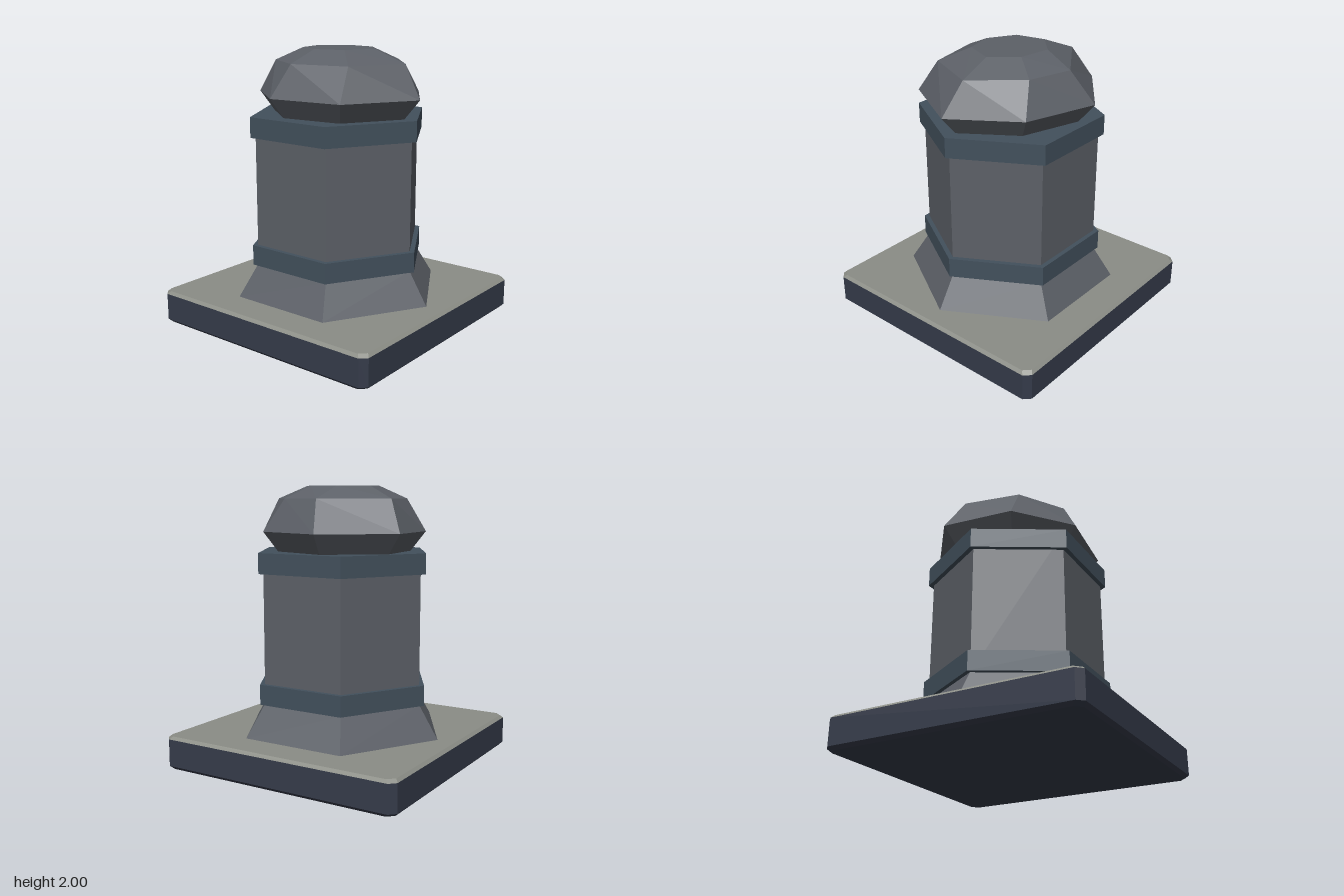
import * as THREE from 'three';

const material = (color) => new THREE.MeshStandardMaterial({ color, flatShading: true });
const stone = material(0x5c6067);
const bandStone = material(0x42505c);
const baseStone = material(0x353b4a);
const paving = material(0x8b8d86);

function addMesh(group, name, geometry, mat) {
  const mesh = new THREE.Mesh(geometry, mat);
  mesh.name = name;
  group.add(mesh);
}

// Six-sided prism or frustum between two heights, with corners on the x axis
function hexPrism(topRadius, bottomRadius, y0, y1) {
  return new THREE.CylinderGeometry(topRadius, bottomRadius, y1 - y0, 6, 1, false, Math.PI / 2)
    .translate(0, (y0 + y1) / 2, 0);
}

// Faceted solid through rings of { y, points: [x, z] }, listed from the bottom up
function loft(rings) {
  const positions = [];
  const count = rings[0].points.length;
  const corner = (ring, i) => [ring.points[i % count][0], ring.y, ring.points[i % count][1]];
  const first = rings[0];
  const last = rings[rings.length - 1];
  for (let i = 0; i < count; i++) {
    for (let r = 0; r < rings.length - 1; r++) {
      const a = corner(rings[r], i), b = corner(rings[r], i + 1);
      const c = corner(rings[r + 1], i + 1), d = corner(rings[r + 1], i);
      positions.push(...a, ...d, ...c, ...a, ...c, ...b);
    }
    positions.push(0, last.y, 0, ...corner(last, i + 1), ...corner(last, i));
    positions.push(0, first.y, 0, ...corner(first, i), ...corner(first, i + 1));
  }
  const geometry = new THREE.BufferGeometry();
  geometry.setAttribute('position', new THREE.Float32BufferAttribute(positions, 3));
  geometry.computeVertexNormals();
  return geometry;
}

// Square ring with cut corners
function squareRing(y, half, cut = 0.045) {
  const k = half - cut;
  return {
    y,
    points: [[k, -half], [half, -k], [half, k], [k, half], [-k, half], [-half, k], [-half, -k], [-k, -half]],
  };
}

export function createModel() {
  const group = new THREE.Group();
  group.name = 'pedestal';

  // Square plinth with a pale bevelled top
  addMesh(group, 'plinth', loft([squareRing(0, 0.9), squareRing(0.025, 0.925), squareRing(0.22, 0.925)]), baseStone);
  addMesh(group, 'plinthTop', loft([squareRing(0.22, 0.925), squareRing(0.24, 0.905)]), paving);

  // Hexagonal column
  addMesh(group, 'flaredFoot', hexPrism(0.63, 0.775, 0.24, 0.47), stone);
  addMesh(group, 'shaft', hexPrism(0.627, 0.627, 0.47, 1.53), stone);
  addMesh(group, 'lowerBand', hexPrism(0.665, 0.665, 0.47, 0.615), bandStone);
  addMesh(group, 'upperBand', hexPrism(0.665, 0.665, 1.395, 1.54), bandStone);

  // Irregular seven-sided capstone
  const girdle = [[-0.15, -0.615], [0.38, -0.45], [0.685, 0], [0.4, 0.5], [-0.15, 0.565], [-0.54, 0.25], [-0.605, -0.27]];
  const shoulder = [[-0.07, -0.46], [0.25, -0.37], [0.53, -0.05], [0.35, 0.35], [-0.07, 0.44], [-0.395, 0.235], [-0.485, -0.17]];
  const crown = [[-0.1, -0.245], [0.135, -0.21], [0.285, -0.035], [0.19, 0.185], [-0.03, 0.24], [-0.225, 0.13], [-0.27, -0.085]];
  addMesh(group, 'capstone', loft([
    { y: 1.54, points: girdle.map(([x, z]) => [x * 0.82, z * 0.82]) },
    { y: 1.68, points: girdle },
    { y: 1.91, points: shoulder },
    { y: 2, points: crown },
  ]), stone);

  return group;
}
